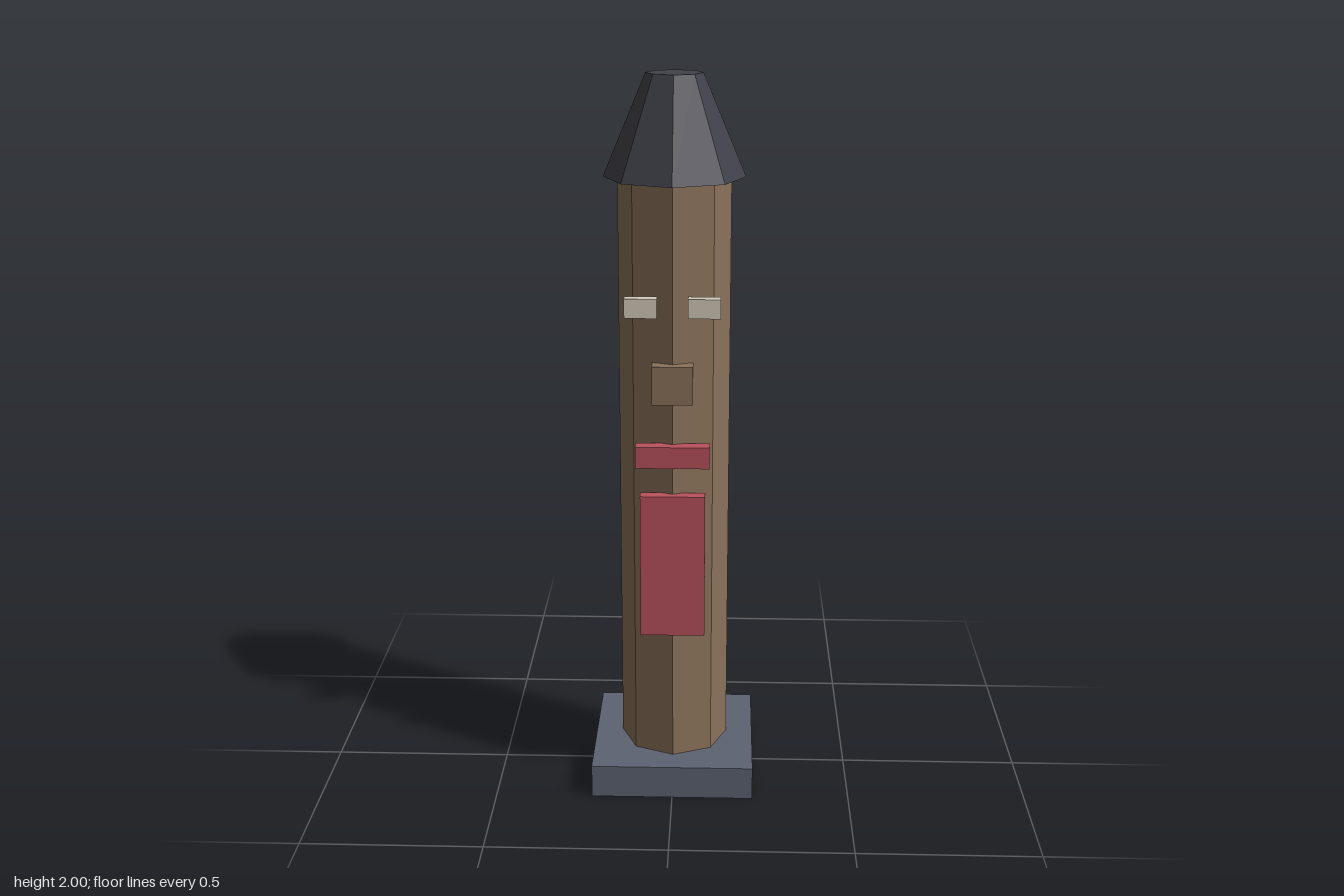
import * as THREE from 'three';

export function createModel() {
  const group = new THREE.Group();
  const mat = (color) => new THREE.MeshStandardMaterial({ color, flatShading: true });
  const slate = mat(0x5d6372), wood = mat(0x8a725a), roofGrey = mat(0x41414b);
  const red = mat(0xb8525c), cream = mat(0xd2cbb9);

  function add(name, geometry, material, x, y, z) {
    const mesh = new THREE.Mesh(geometry, material);
    mesh.name = name;
    mesh.position.set(x, y, z);
    group.add(mesh);
  }

  // box given by its centre x, width, bottom, top, back and front
  function box(name, material, x, width, y0, y1, z0, z1) {
    add(name, new THREE.BoxGeometry(width, y1 - y0, z1 - z0), material, x, (y0 + y1) / 2, (z0 + z1) / 2);
  }

  // eight-sided section with a corner facing the front
  function octagon(name, material, rTop, rBottom, y0, y1) {
    add(name, new THREE.CylinderGeometry(rTop, rBottom, y1 - y0, 8), material, 0, (y0 + y1) / 2, 0);
  }

  // square foot, post and tapered cap
  box('base', slate, 0, 0.455, 0, 0.095, -0.2275, 0.2275);
  octagon('post', wood, 0.152, 0.152, 0.002, 1.82);
  octagon('cap', roofGrey, 0.076, 0.19, 1.73, 2);

  // face
  for (const [side, name] of [[1, 'leftEye'], [-1, 'rightEye']]) {
    box(name, cream, side * 0.084, 0.086, 1.385, 1.437, 0.14, 0.173);
  }
  box('nose', wood, 0, 0.11, 1.15, 1.255, 0.133, 0.177);
  box('mouth', red, 0, 0.2, 0.972, 1.032, 0.14, 0.178);

  // panel on the front of the post
  box('frontPanel', red, 0, 0.177, 0.48, 0.89, 0.14, 0.174);

  return group;
}
